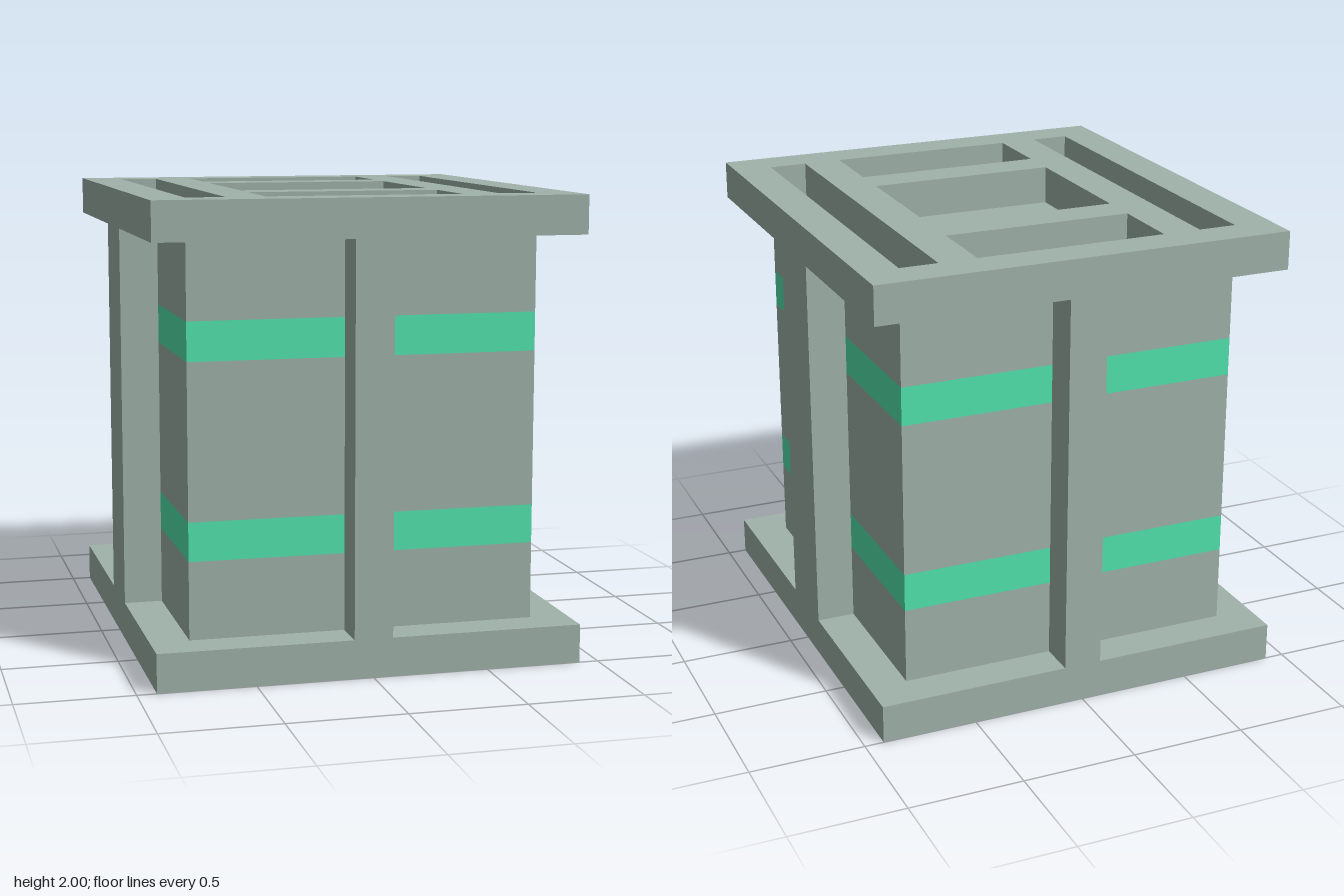
import * as THREE from 'three';

const U = 1 / 12; // the whole model sits on a grid of twelfths

export function createModel() {
  const group = new THREE.Group();
  group.name = 'framedCrate';
  const grey = new THREE.MeshStandardMaterial({ color: 0xa0b2aa });
  grey.name = 'greyMetal';
  const green = new THREE.MeshStandardMaterial({ color: 0x52e4ae });
  green.name = 'greenGlow';

  const add = (name, geometry, material, x, y, z) => {
    const mesh = new THREE.Mesh(geometry, material);
    mesh.name = name;
    mesh.position.set(x * U, y * U, z * U);
    group.add(mesh);
  };
  const box = (w, h, d) => new THREE.BoxGeometry(w * U, h * U, d * U);

  // Counter-clockwise rectangle corners from x0..x1 and z0..z1, in grid units
  const rect = (x0, x1, z0, z1) =>
    [[x0, z1], [x1, z1], [x1, z0], [x0, z0]].map(([x, z]) => new THREE.Vector2(x * U, -z * U));

  // Slotted plate lying flat, 2 units thick; slots run clockwise so their walls face inward
  const plate = (slots) => {
    const shape = new THREE.Shape(rect(-11, 11, -12, 12));
    slots.forEach((s) => shape.holes.push(new THREE.Path(rect(...s).reverse())));
    return new THREE.ExtrudeGeometry(shape, { depth: 2 * U, bevelEnabled: false }).rotateX(-Math.PI / 2);
  };

  // Base with three long slots, lid with two long slots and three windows
  add('basePlate', plate([[-9, -5, -10, 10], [-1, 1, -10, 10], [5, 9, -10, 10]]), grey, 0, 0, 0);
  add('topPlate', plate([
    [-9, -7, -10, 10], [7, 9, -10, 10],
    [-5, 5, -10, -6], [-5, 5, -4, 4], [-5, 5, 6, 10],
  ]), grey, 0, 22, 0);

  // Body stacked in layers, alternating grey walls and green bands
  const levels = [2, 6, 8, 16, 18, 22];
  for (let i = 0; i < levels.length - 1; i++) {
    const h = levels[i + 1] - levels[i];
    const band = i % 2 === 1;
    add(band ? 'bodyBand' : 'bodyWall', box(18, h, 20), band ? green : grey, 0, levels[i] + h / 2, 0);
  }

  // Posts in the middle of each side
  for (const s of [-1, 1]) {
    add(s > 0 ? 'frontPost' : 'backPost', box(2, 20, 2), grey, 0, 12, s * 11);
    add(s > 0 ? 'leftPost' : 'rightPost', box(2, 20, 4), grey, s * 10, 12, 0);
  }

  // Green panel at the bottom of the central window
  add('topPanel', box(6, 0.06, 4), green, 0, 22.03, 0);

  return group;
}
